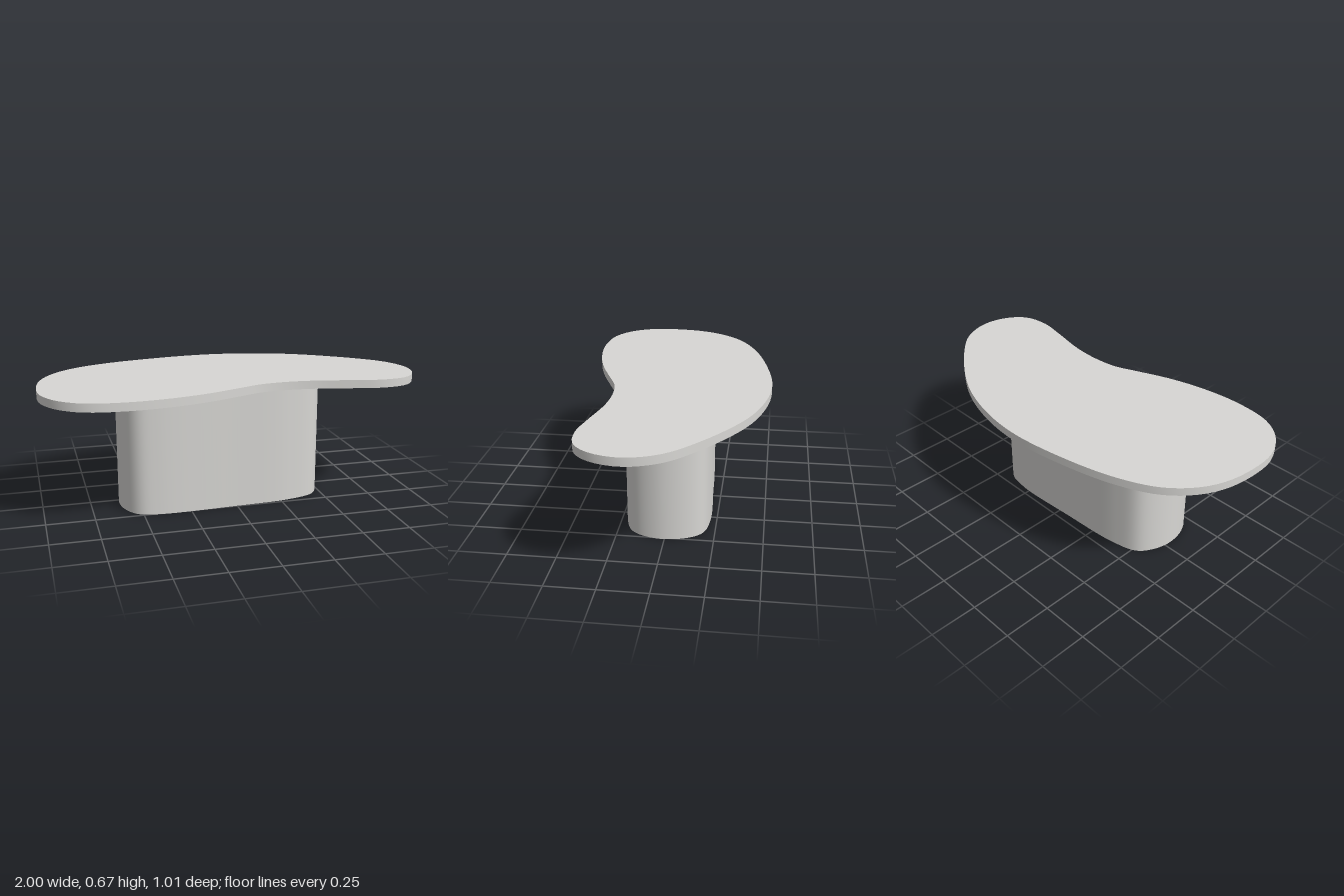
import * as THREE from 'three';
import { toCreasedNormals } from 'three/addons/utils/BufferGeometryUtils.js';

// Closed smooth outline through [x, z] points, extruded upwards from y0 to y1
function slab(name, points, y0, y1, material) {
  const curve = new THREE.CatmullRomCurve3(
    points.map(([x, z]) => new THREE.Vector3(x, -z, 0)), true, 'centripetal');
  const outline = curve.getSpacedPoints(120).slice(0, -1);
  const shape = new THREE.Shape(outline.map((p) => new THREE.Vector2(p.x, p.y)));
  const geometry = new THREE.ExtrudeGeometry(shape, { depth: y1 - y0, bevelEnabled: false });
  geometry.rotateX(-Math.PI / 2).translate(0, y0, 0);
  const mesh = new THREE.Mesh(toCreasedNormals(geometry, Math.PI / 5), material);
  mesh.name = name;
  return mesh;
}

export function createModel() {
  const group = new THREE.Group();
  group.name = 'coffeeTable';
  const stone = new THREE.MeshStandardMaterial({ color: 0xd8d7d4 });
  stone.name = 'pale stone';

  // Kidney-shaped top with one hollow in the front edge
  const top = [
    [0, -0.508], [0.25, -0.48], [0.5, -0.395], [0.8, -0.195], [0.95, -0.04], [1, 0.12],
    [0.965, 0.265], [0.885, 0.35], [0.75, 0.375], [0.6, 0.35], [0.4, 0.308], [0.25, 0.298],
    [0.1, 0.315], [0, 0.355], [-0.2, 0.435], [-0.4, 0.485], [-0.6, 0.503], [-0.8, 0.475],
    [-0.92, 0.39], [-0.985, 0.27], [-1, 0.16], [-0.98, -0.03], [-0.92, -0.17],
    [-0.8, -0.3], [-0.6, -0.4], [-0.3, -0.475],
  ];
  // Rounded, slightly tapering pedestal
  const base = [
    [-0.42, 0.257], [0, 0.247], [0.3, 0.225], [0.45, 0.17], [0.508, 0.04], [0.49, -0.1],
    [0.43, -0.185], [0.3, -0.216], [-0.05, -0.205], [-0.4, -0.18], [-0.53, -0.135],
    [-0.597, 0], [-0.585, 0.14], [-0.525, 0.23],
  ];
  group.add(slab('tableTop', top, 0.629, 0.672, stone));
  group.add(slab('pedestal', base, 0, 0.629, stone));
  return group;
}
